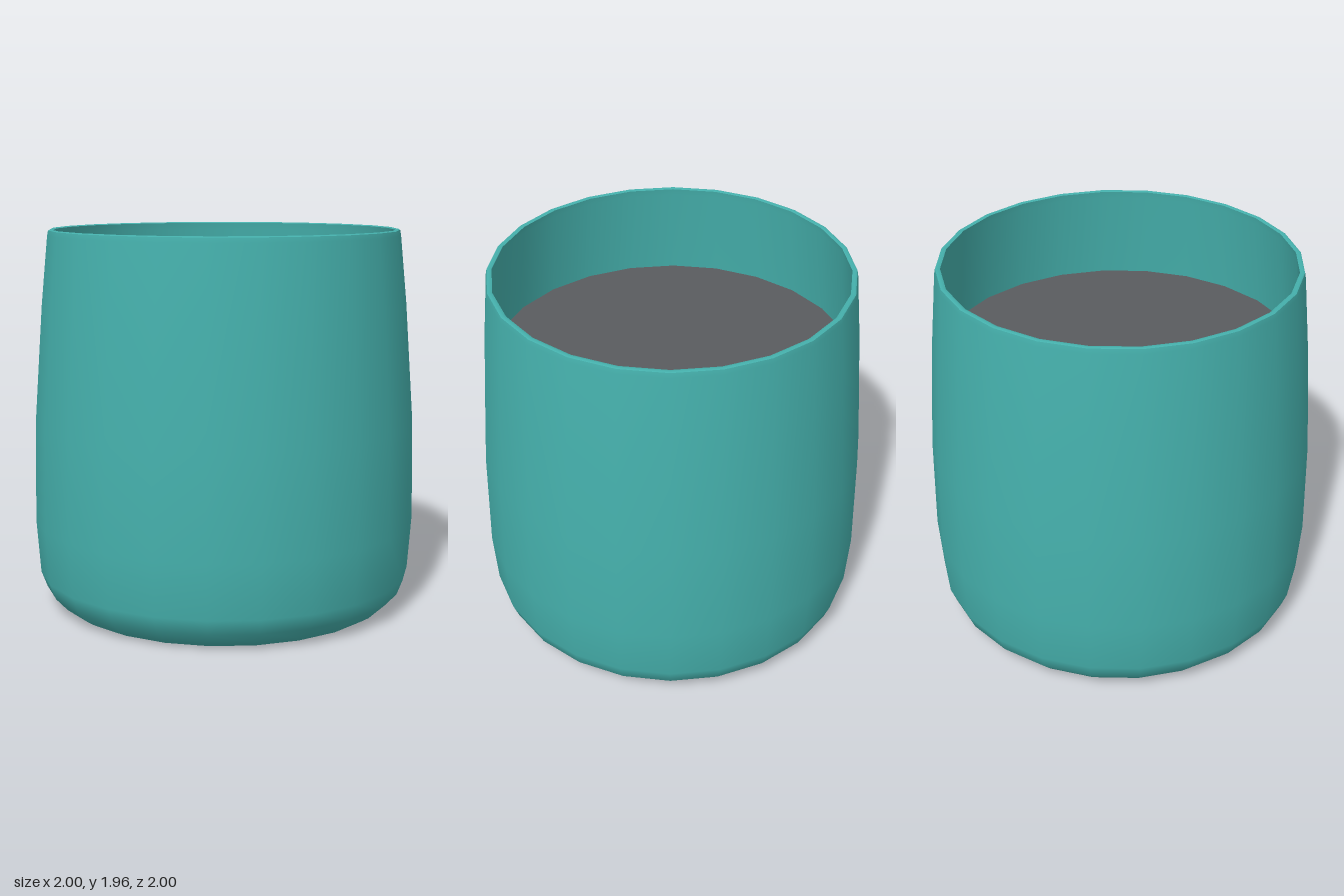
import * as THREE from 'three';

const SIDES = 24;

export function createModel() {
  const group = new THREE.Group();
  const teal = new THREE.MeshStandardMaterial({ color: 0x45b0ac });
  teal.name = 'teal glaze';
  const grey = new THREE.MeshStandardMaterial({ color: 0x5a5c5f });
  grey.name = 'dark grey';

  const add = (name, geometry, material) => {
    const mesh = new THREE.Mesh(geometry, material);
    mesh.name = name;
    group.add(mesh);
    return mesh;
  };
  // Revolve [radius, height] pairs around the upright axis
  const turn = (profile) =>
    new THREE.LatheGeometry(profile.map(([r, y]) => new THREE.Vector2(r, y)), SIDES);

  // Outer wall: rounded foot, belly, tapering neck
  add('outerWall', turn([
    [0.85, 0], [0.89, 0.025], [0.95, 0.09], [0.98, 0.17], [1, 0.45],
    [0.99, 0.97], [0.945, 1.58], [0.91, 1.93], [0.905, 1.955],
  ]), teal);

  // Flat lip joining outer and inner walls
  add('rim', turn([[0.905, 1.955], [0.895, 1.96], [0.88, 1.955]]), teal);

  // Inner wall runs down to the filling
  add('innerWall', turn([[0.88, 1.955], [0.885, 1.92], [0.915, 1.6], [0.927, 1.46]]), teal);

  // Flat underside
  const base = add('base', new THREE.CircleGeometry(0.85, SIDES), teal);
  base.rotation.x = Math.PI / 2;

  // Level surface inside the cup
  const filling = add('filling', new THREE.CircleGeometry(0.927, SIDES), grey);
  filling.rotation.x = -Math.PI / 2;
  filling.position.y = 1.46;

  return group;
}
